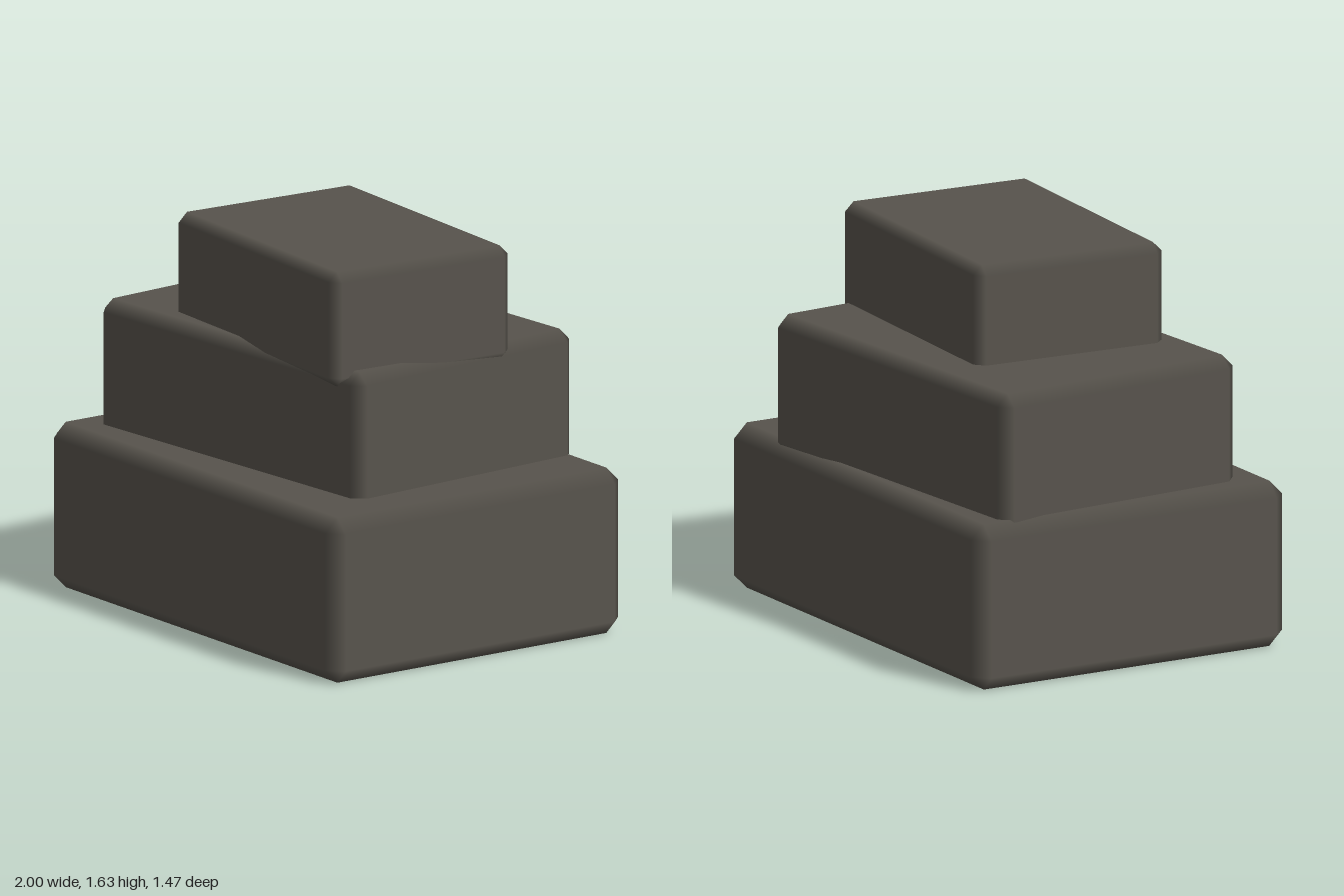
import * as THREE from 'three';

// Box with one chamfer on every edge; normals stay true to the six faces,
// so the faces read flat and the chamfers shade softly.
function chamferBox(w, h, d, b) {
  const half = [w / 2, h / 2, d / 2];
  const pos = [], nor = [], idx = [];
  const signs = [-1, 1];

  // three vertices per corner, one on each adjoining face
  for (const x of signs) for (const y of signs) for (const z of signs) {
    const s = [x, y, z];
    for (let face = 0; face < 3; face++) {
      for (let a = 0; a < 3; a++) {
        pos.push(s[a] * (half[a] - (a === face ? 0 : b)));
        nor.push(a === face ? s[a] : 0);
      }
    }
  }
  const id = (s, face) => ((s[0] > 0 ? 4 : 0) + (s[1] > 0 ? 2 : 0) + (s[2] > 0 ? 1 : 0)) * 3 + face;
  const point = (i) => new THREE.Vector3().fromArray(pos, i * 3);

  // add a triangle wound so that it faces outwards
  const tri = (i, j, k) => {
    const p = point(i);
    const n = point(j).sub(p).cross(point(k).sub(p));
    if (n.dot(p) > 0) idx.push(i, j, k);
    else idx.push(i, k, j);
  };
  const quad = (i, j, k, l) => { tri(i, j, k); tri(i, k, l); };
  const corner = (a, sa, u, su, v, sv) => {
    const s = [0, 0, 0];
    s[a] = sa; s[u] = su; s[v] = sv;
    return s;
  };

  for (let a = 0; a < 3; a++) {
    const u = (a + 1) % 3, v = (a + 2) % 3;
    for (const s of signs) {
      // main face
      quad(...[[-1, -1], [1, -1], [1, 1], [-1, 1]].map(([p, q]) => id(corner(a, s, u, p, v, q), a)));
      // edge chamfers running along v
      for (const t of signs) {
        const lo = corner(a, s, u, t, v, -1), hi = corner(a, s, u, t, v, 1);
        quad(id(lo, a), id(hi, a), id(hi, u), id(lo, u));
      }
    }
  }
  // corner triangles
  for (let c = 0; c < 8; c++) tri(c * 3, c * 3 + 1, c * 3 + 2);

  const g = new THREE.BufferGeometry();
  g.setAttribute('position', new THREE.Float32BufferAttribute(pos, 3));
  g.setAttribute('normal', new THREE.Float32BufferAttribute(nor, 3));
  g.setIndex(idx);
  return g;
}

export function createModel() {
  const group = new THREE.Group();
  group.name = 'stackedBlocks';
  const stone = new THREE.MeshStandardMaterial({ color: 0x57534c });
  stone.name = 'dark stone';

  // each block sinks slightly into the one below and is turned a little
  const blocks = [
    { name: 'baseBlock', size: [2, 0.695, 1.47], bevel: 0.06, bottom: 0, x: 0, z: 0, turn: 0 },
    { name: 'middleBlock', size: [1.645, 0.582, 1.168], bevel: 0.05, bottom: 0.635, x: -0.09, z: -0.067, turn: 0.077 },
    { name: 'topBlock', size: [1.213, 0.482, 0.863], bevel: 0.04, bottom: 1.15, x: 0.105, z: 0.04, turn: -0.06 },
  ];
  for (const { name, size, bevel, bottom, x, z, turn } of blocks) {
    const mesh = new THREE.Mesh(chamferBox(...size, bevel), stone);
    mesh.name = name;
    mesh.position.set(x, bottom + size[1] / 2, z);
    mesh.rotation.y = turn;
    group.add(mesh);
  }
  return group;
}
